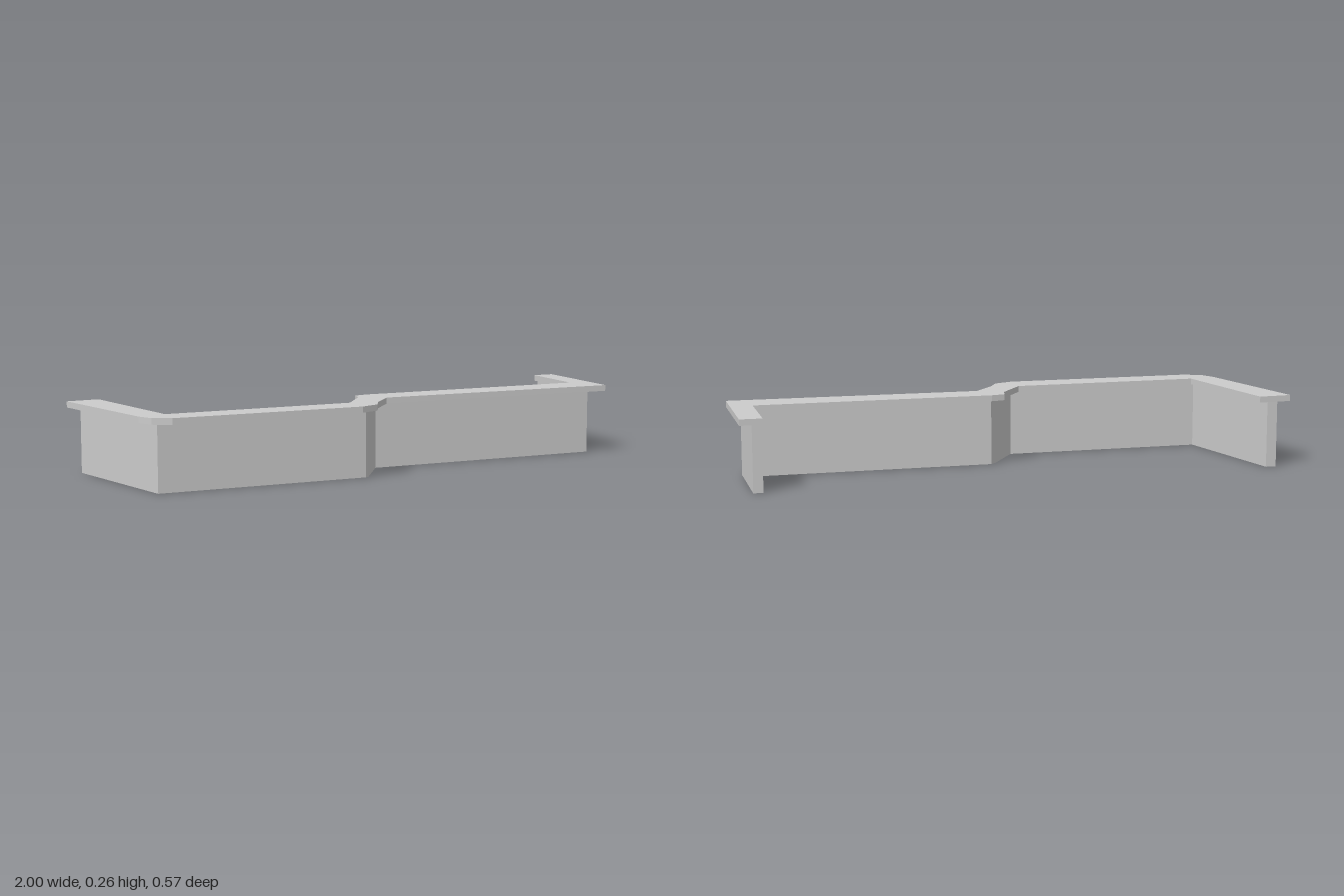
import * as THREE from 'three';

// Vertical prism over a plan outline given as [x, z] pairs
function prism(name, plan, y0, y1) {
  const shape = new THREE.Shape(plan.map(([x, z]) => new THREE.Vector2(x, -z)));
  const geo = new THREE.ExtrudeGeometry(shape, { depth: y1 - y0, bevelEnabled: false });
  geo.rotateX(-Math.PI / 2).translate(0, y0, 0);
  const mesh = new THREE.Mesh(geo, new THREE.MeshStandardMaterial({ color: 0xcccccc, flatShading: true }));
  mesh.name = name;
  return mesh;
}

export function createModel() {
  const group = new THREE.Group();
  group.name = 'parapetWall';

  // Thin upright wall: outer (front) face, then inner (back) face
  const wallOuter = [
    [-0.95, -0.28], [-0.835, 0.232], [-0.062, 0.232], [-0.05, 0.225],
    [0.055, 0.062], [0.955, 0.062], [0.955, -0.255],
  ];
  const wallInner = [
    [0.92, -0.255], [0.92, 0.026], [0.045, 0.026], [0.025, 0.043],
    [-0.074, 0.196], [-0.805, 0.196], [-0.912, -0.28],
  ];
  group.add(prism('wall', [...wallOuter, ...wallInner], 0, 0.24));

  // Wider flat coping with chamfered corners along the top
  const capOuter = [
    [-1, -0.28], [-0.89, 0.2], [-0.863, 0.257], [-0.8, 0.287], [-0.1, 0.287],
    [-0.03, 0.257], [0, 0.2], [0.08, 0.103], [1, 0.117], [1, -0.28],
  ];
  const capInner = [
    [0.92, -0.28], [0.92, -0.008], [0.05, -0.008], [0, 0.004], [-0.01, 0.053],
    [-0.1, 0.176], [-0.79, 0.182], [-0.88, -0.287],
  ];
  group.add(prism('coping', [...capOuter, ...capInner], 0.24, 0.262));

  return group;
}
